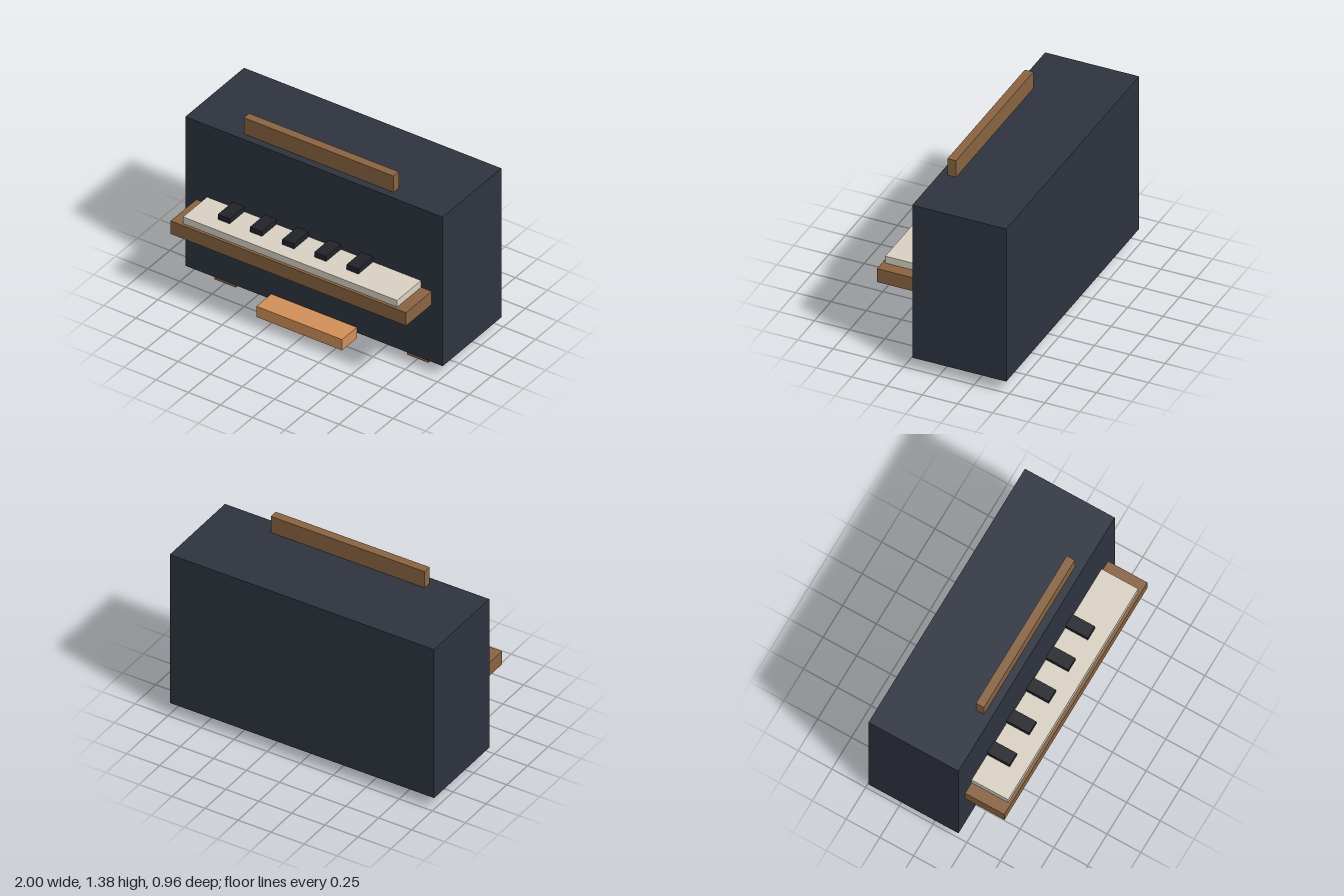
import * as THREE from 'three';

const material = (color) => new THREE.MeshStandardMaterial({ color, flatShading: true });

export function createModel() {
  const model = new THREE.Group();
  model.name = 'uprightPiano';

  const navy = material(0x2e3440);
  const wood = material(0x8b6542);
  const ivory = material(0xdcd4c5);
  const black = material(0x22242a);
  const copper = material(0xd4915a);

  // Box given by its extents along each axis
  function box(name, mat, [x0, x1], [y0, y1], [z0, z1]) {
    const mesh = new THREE.Mesh(new THREE.BoxGeometry(x1 - x0, y1 - y0, z1 - z0), mat);
    mesh.position.set((x0 + x1) / 2, (y0 + y1) / 2, (z0 + z1) / 2);
    mesh.name = name;
    model.add(mesh);
  }

  const front = 0.188; // front face of the cabinet

  box('cabinet', navy, [-1, 1], [0.087, 1.25], [-0.478, front]);
  box('musicRest', wood, [-0.582, 0.582], [1.25, 1.376], [0.075, 0.135]);

  // Keyboard
  box('keyShelf', wood, [-0.915, 0.915], [0.535, 0.637], [front, 0.479]);
  box('whiteKeys', ivory, [-0.832, 0.832], [0.637, 0.689], [front, 0.459]);
  for (let i = 0; i < 5; i++) {
    const x = -0.587 + i * 0.25;
    box(`blackKey${i + 1}`, black, [x - 0.046, x + 0.046], [0.689, 0.728], [front, 0.355]);
  }

  // Pedal block and feet
  box('pedalBlock', copper, [-0.333, 0.333], [0.044, 0.128], [front, 0.355]);
  box('leftFoot', wood, [0.665, 0.832], [0, 0.087], [-0.06, 0.105]);
  box('rightFoot', wood, [-0.832, -0.665], [0, 0.087], [-0.06, 0.105]);

  return model;
}
